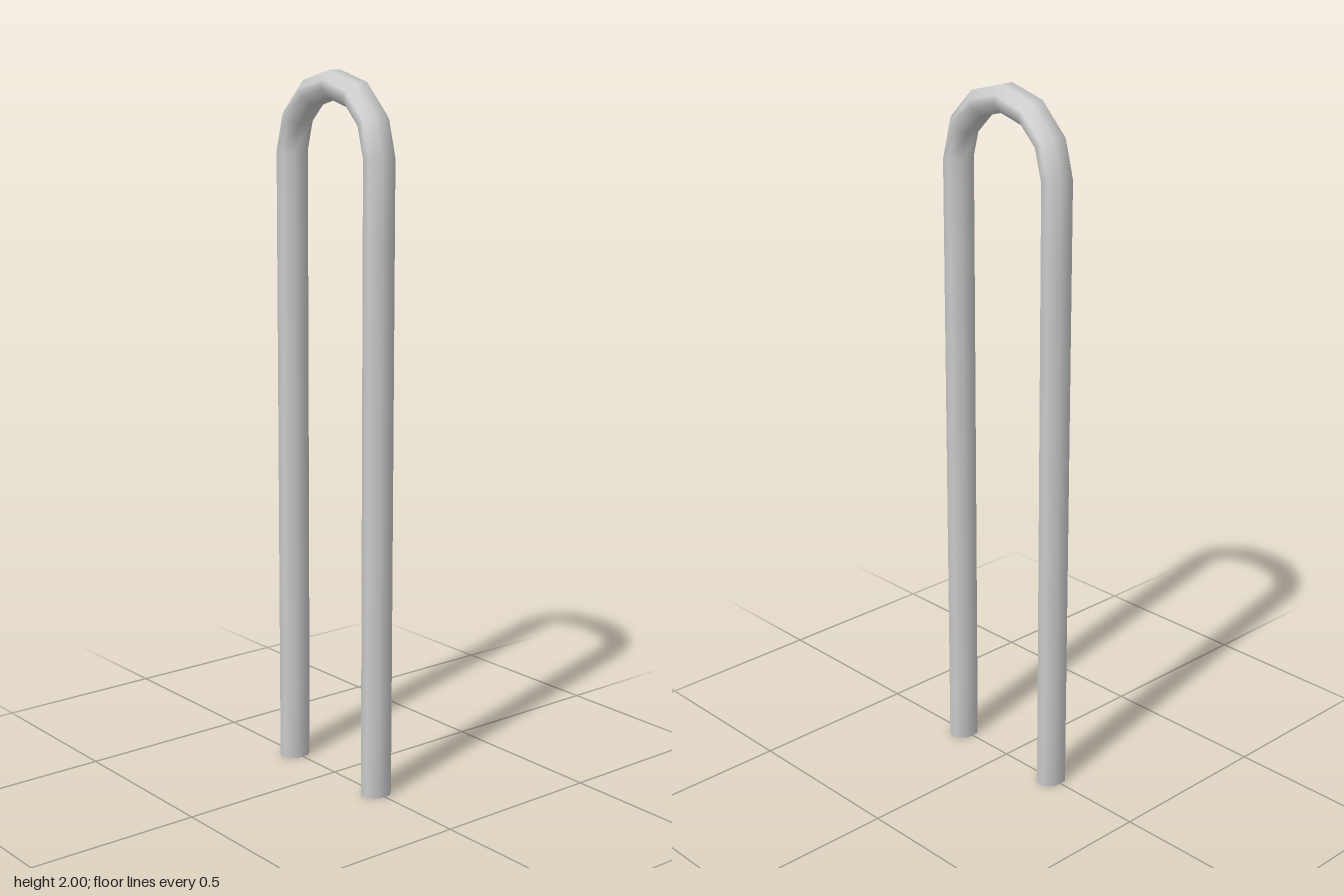
import * as THREE from 'three';

// Eight-sided rod section: [outward offset, depth]
const SECTION = [
  [0.0375, -0.02], [0.0375, 0.02], [0.0125, 0.045], [-0.0125, 0.045],
  [-0.0375, 0.02], [-0.0375, -0.02], [-0.0125, -0.045], [0.0125, -0.045],
];
const RADIUS = 0.1875; // bend radius of the rod's centre line
const SPRING = 1.775;  // height where the legs meet the bend
const LEG_STEPS = 8;
const ARCH_STEPS = 6;

// Rings up one leg, around the bend and down the other leg
function rodGeometry() {
  const rings = [];
  for (let i = 0; i < LEG_STEPS; i++) rings.push([0, SPRING * i / LEG_STEPS]);
  for (let i = 0; i <= ARCH_STEPS; i++) rings.push([Math.PI * i / ARCH_STEPS, SPRING]);
  for (let i = LEG_STEPS - 1; i >= 0; i--) rings.push([Math.PI, SPRING * i / LEG_STEPS]);

  const n = SECTION.length, positions = [], index = [];
  rings.forEach(([angle, y], i) => {
    for (const [u, z] of SECTION) {
      const r = RADIUS + u;
      positions.push(r * Math.cos(angle), y + r * Math.sin(angle), z);
    }
    if (i === rings.length - 1) return;
    for (let j = 0; j < n; j++) {
      const a = i * n + j, b = i * n + (j + 1) % n;
      index.push(a, a + n, b, b, a + n, b + n);
    }
  });
  const geometry = new THREE.BufferGeometry();
  geometry.setAttribute('position', new THREE.Float32BufferAttribute(positions, 3));
  geometry.setIndex(index);
  geometry.computeVertexNormals();
  return geometry;
}

export function createModel() {
  const group = new THREE.Group();
  group.name = 'hairpinRod';
  const material = new THREE.MeshStandardMaterial({ color: 0xcccccc });

  // Bent rod
  const rod = new THREE.Mesh(rodGeometry(), material);
  rod.name = 'bentRod';
  group.add(rod);

  // Flat ends of the legs, facing down
  const capShape = new THREE.Shape(SECTION.map(([u, z]) => new THREE.Vector2(u, z)));
  const capGeometry = new THREE.ShapeGeometry(capShape).rotateX(Math.PI / 2);
  for (const side of [1, -1]) {
    const cap = new THREE.Mesh(capGeometry, material);
    cap.name = side > 0 ? 'leftLegEnd' : 'rightLegEnd';
    cap.position.x = side * RADIUS;
    group.add(cap);
  }
  return group;
}
